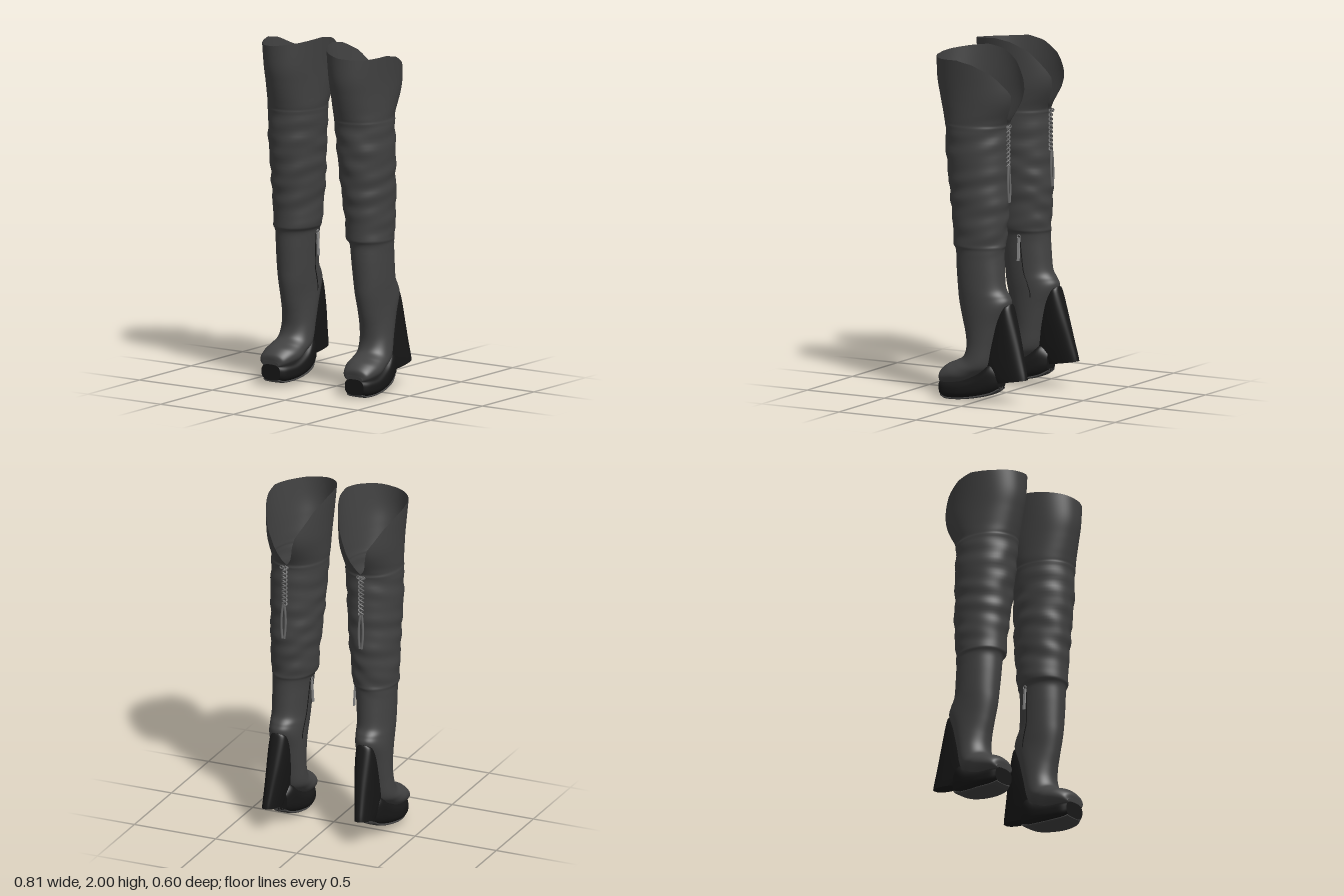
import * as THREE from 'three';

const mat = (name, color, side = THREE.DoubleSide) => {
  const m = new THREE.MeshStandardMaterial({ color, side });
  m.name = name;
  return m;
};
const N = 72; // points around each ring

// Cross-sections: front z, front y, back z, back y, centre x, half width
const UPPER = [
  [0.238, 0.13, 0.234, 0.09, 0.287, 0.055], [0.237, 0.165, 0.19, 0.085, 0.286, 0.085],
  [0.2, 0.2, 0.08, 0.1, 0.28, 0.108], [0.15, 0.222, 0, 0.145, 0.277, 0.106],
  [0.105, 0.25, -0.075, 0.2, 0.272, 0.1], [0.088, 0.3, -0.11, 0.33, 0.268, 0.095],
  [0.095, 0.37, -0.145, 0.46, 0.266, 0.095], [0.118, 0.46, -0.182, 0.56, 0.265, 0.097],
  [0.14, 0.56, -0.168, 0.605, 0.263, 0.1], [0.148, 0.64, -0.14, 0.65, 0.262, 0.103],
  ...[[0.157, 0.75, -0.13, 0.259, 0.108], [0.163, 0.85, -0.125, 0.255, 0.114],
    [0.178, 0.9, -0.13, 0.248, 0.128], [0.185, 1, -0.138, 0.247, 0.132],
    [0.2, 1.12, -0.146, 0.242, 0.14], [0.215, 1.25, -0.142, 0.238, 0.147],
    [0.232, 1.4, -0.142, 0.235, 0.154], [0.24, 1.55, -0.137, 0.228, 0.158],
    [0.25, 1.6, -0.15, 0.226, 0.16], [0.28, 1.72, -0.218, 0.223, 0.167],
    [0.3, 1.83, -0.23, 0.222, 0.174], [0.3, 2, -0.2, 0.222, 0.19],
  ].map(([f, y, b, cx, hw]) => [f, y, b, y, cx, hw]),
];
const CUFF = 17; // section where the flared cuff begins
const LAST = UPPER.length - 1;
const HEEL = [
  [-0.1, 0.11, -0.302, 0.143, 0.285, 0.041], [-0.05, 0.15, -0.296, 0.175, 0.283, 0.045],
  [-0.02, 0.22, -0.277, 0.25, 0.278, 0.051], [-0.05, 0.34, -0.248, 0.365, 0.271, 0.056],
  [-0.09, 0.45, -0.216, 0.48, 0.267, 0.056], [-0.12, 0.525, -0.196, 0.545, 0.265, 0.048],
  [-0.13, 0.545, -0.188, 0.562, 0.264, 0.032],
];
const SOLE = [
  [0.237, 0.11, 0.232, 0.018, 0.286, 0.064], [0.19, 0.112, 0.19, 0.006, 0.284, 0.086],
  [0.1, 0.12, 0.1, 0.01, 0.281, 0.1], [0, 0.16, 0, 0.025, 0.276, 0.091],
  [-0.08, 0.225, -0.08, 0.046, 0.274, 0.07], [-0.13, 0.19, -0.13, 0.075, 0.275, 0.046],
];

// Point on a section at angle a (0 = back, PI/2 = outer side, PI = front)
function ringPoint([fz, fy, bz, by, cx, hw], a, p = 1, w = 1) {
  const pw = (v) => Math.sign(v) * Math.abs(v) ** p;
  const c = pw(Math.cos(a)) * w, s = pw(Math.sin(a)) * w;
  return new THREE.Vector3(cx + hw * s, (fy + by) / 2 - (c * (fy - by)) / 2, (fz + bz) / 2 - (c * (fz - bz)) / 2);
}

// Smoothly blended section at a fractional index
function section(rows, s) {
  const i = Math.min(Math.floor(s), rows.length - 2), t = s - i;
  const at = (k) => rows[Math.max(0, Math.min(rows.length - 1, k))];
  return rows[i].map((_, k) => {
    const [a, b, c, d] = [-1, 0, 1, 2].map((o) => at(i + o)[k]);
    return b + 0.5 * t * (c - a + t * (2 * a - 5 * b + 4 * c - d + t * (3 * (b - c) + d - a)));
  });
}

// Closed rings joined into a skin, with optional end caps
function loft(rings, capStart, capEnd) {
  const n = rings[0].length, pts = rings.flat(), idx = [];
  for (let i = 0; i < rings.length - 1; i++)
    for (let j = 0; j < n; j++) {
      const a = i * n + j, b = i * n + ((j + 1) % n);
      idx.push(a, a + n, b, b, a + n, b + n);
    }
  const cap = (ring, flip) => {
    const base = pts.length;
    const centre = ring.reduce((v, p) => v.add(p), new THREE.Vector3()).divideScalar(n);
    pts.push(...ring.map((p) => p.clone()), centre);
    for (let j = 0; j < n; j++) {
      const a = base + j, b = base + ((j + 1) % n);
      idx.push(base + n, flip ? b : a, flip ? a : b);
    }
  };
  if (capStart) cap(rings[0], false);
  if (capEnd) cap(rings[rings.length - 1], true);
  const g = new THREE.BufferGeometry().setFromPoints(pts);
  g.setIndex(idx);
  g.computeVertexNormals();
  return g;
}
const angles = Array.from({ length: N }, (_, j) => (j / N) * Math.PI * 2);
const solid = (rows, p, steps) => {
  const rings = [];
  for (let i = 0; i <= (rows.length - 1) * steps; i++) {
    const sec = section(rows, i / steps);
    rings.push(angles.map((a) => ringPoint(sec, a, p)));
  }
  return loft(rings, true, true);
};

// Leather surface with slouch folds between calf and thigh
function leather(a, s, grow = 1) {
  const sec = section(UPPER, s), y = (sec[1] + sec[3]) / 2;
  const env = THREE.MathUtils.smoothstep(y, 0.8, 0.92) * (1 - THREE.MathUtils.smoothstep(y, 1.4, 1.7));
  const fold = Math.sin(y * 44 + 2.4 * Math.sin(a) + 1.3 * Math.sin(2 * a + y * 7))
    + 0.6 * Math.sin(y * 71 - 3 * Math.cos(a));
  const seam = 0.012 * Math.exp(-(((y - 1.56) / 0.008) ** 2)) + 0.02 * Math.exp(-(((y - 0.88) / 0.01) ** 2));
  return ringPoint(sec, a, 1, grow * (1 + 0.016 * env * fold + seam));
}

// Rim height: a deep notch at the back between two rounded lapels
const RIM = [[0, 1.57], [0.22, 1.63], [0.45, 1.77], [0.94, 1.89], [1.37, 1.94], [1.75, 1.957], [2.4, 1.942], [3.15, 1.935]];
function rimIndex(a) {
  const d = Math.min(a, Math.PI * 2 - a);
  const k = RIM.findIndex((r, i) => i > 0 && d <= r[0]);
  const [[d0, y0], [d1, y1]] = [RIM[k - 1], RIM[k]];
  const y = y0 + ((y1 - y0) * (d - d0)) / (d1 - d0) - 0.02 * Math.sin(a);
  let i = CUFF;
  while (i < LAST - 1 && UPPER[i + 1][1] < y) i++;
  return i + (y - UPPER[i][1]) / (UPPER[i + 1][1] - UPPER[i][1]);
}

function upperGeometry() {
  const rings = [], steps = 8;
  for (let i = 0; i <= LAST * steps; i++) {
    const u = i / steps;
    rings.push(angles.map((a) =>
      leather(a, u <= CUFF ? u : CUFF + ((u - CUFF) / (LAST - CUFF)) * (rimIndex(a) - CUFF))));
  }
  return loft(rings, true, false);
}

const tube = (pts, r, seg = 40) => new THREE.TubeGeometry(new THREE.CatmullRomCurve3(pts), seg, r, 6);

export function createModel() {
  const black = mat('black sole', 0x171717);
  const charcoal = mat('charcoal leather', 0x424242);
  const cord = mat('grey cord', 0x6a6a6a);
  const metal = mat('zip metal', 0x8a8a8a);

  function boot(name) {
    const g = new THREE.Group();
    g.name = name;
    const add = (part, geo, m) => {
      const mesh = new THREE.Mesh(geo, m);
      mesh.name = part;
      g.add(mesh);
      return mesh;
    };
    add('upper', upperGeometry(), charcoal);
    add('wedgeHeel', solid(HEEL, 0.8, 4), black);
    add('platform', solid(SOLE, 0.7, 5), black);
    // Sloping insole above the wedge
    const insole = add('insole', new THREE.CircleGeometry(1, 40), charcoal);
    insole.rotation.x = -Math.PI / 2 + 0.588;
    insole.scale.set(0.092, 0.142, 1);
    insole.position.set(0.264, 0.48, -0.03);
    // Tread following the underside of the platform
    const tread = SOLE.map(([, , bz, by, cx, hw]) => [bz, by + 0.014, bz, by - 0.004, cx, hw * 0.8]);
    add('tread', solid(tread, 0.7, 5), charcoal);

    // Crossed back lacing with a small bow and hanging tassels
    for (const s of [-1, 1]) {
      const lace = [], end = [];
      for (let i = 0; i <= 40; i++) {
        const a = (i / 40) * Math.PI * 10;
        lace.push(new THREE.Vector3(0.236 + s * 0.015 * Math.sin(a), 1.57 - 0.006 * i, -0.15 - 0.007 * s * Math.cos(a)));
      }
      add('lace', tube(lace, 0.0045, 120), cord);
      for (let i = 0; i <= 5; i++)
        end.push(new THREE.Vector3(0.238 + s * (0.005 + 0.008 * Math.sin(i * 0.6)), 1.34 - 0.041 * i, -0.155 - 0.001 * i));
      add('tassel', tube(end, 0.0065), cord);
      const loop = add('bowLoop', new THREE.TorusGeometry(0.012, 0.004, 6, 16), cord);
      loop.position.set(0.236 + s * 0.013, 1.565, -0.155);
      loop.scale.y = 0.7;
    }

    // Zip along the inner calf with a hanging pull
    const zip = [];
    for (let s = 6.8; s <= 11.3; s += 0.3) zip.push(leather(-1.42, s, 1.005));
    add('zip', tube(zip, 0.003), black);
    const top = leather(-1.42, 11.1, 1.06);
    const pull = add('zipPull', new THREE.BoxGeometry(0.009, 0.13, 0.014), metal);
    pull.position.set(top.x - 0.005, top.y - 0.08, top.z);
    pull.rotation.z = -0.06;
    const ring = add('zipRing', new THREE.TorusGeometry(0.01, 0.003, 6, 14), metal);
    ring.position.set(top.x - 0.003, top.y - 0.008, top.z);
    ring.rotation.y = Math.PI / 2;
    return g;
  }

  const model = new THREE.Group();
  model.name = 'boots';
  const left = boot('leftBoot');
  const right = boot('rightBoot');
  right.scale.x = -1;
  right.position.y = 0.02;
  model.add(left, right);
  return model;
}
